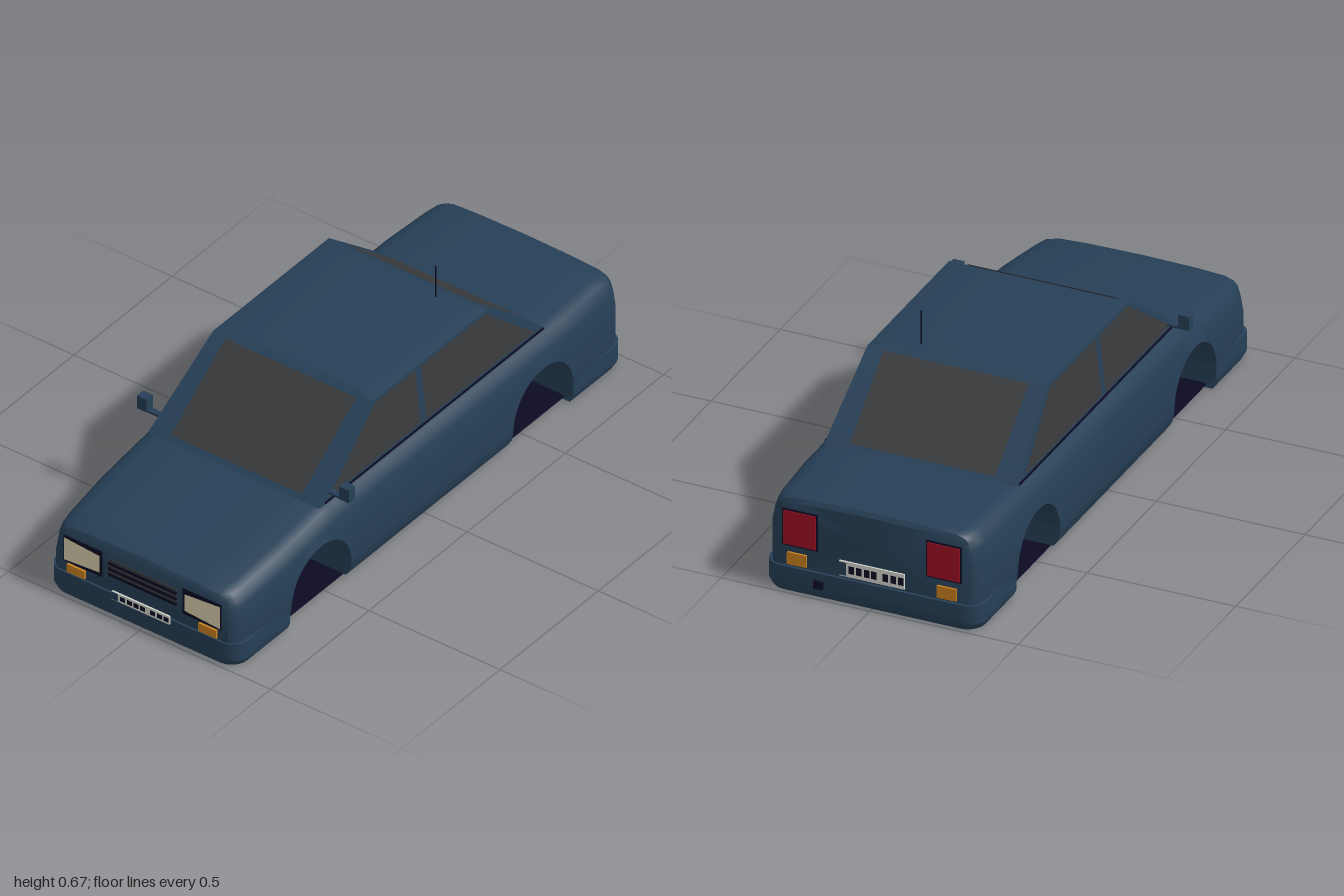
import * as THREE from 'three';
import { toCreasedNormals } from 'three/addons/utils/BufferGeometryUtils.js';

const mat = (name, color, side = THREE.FrontSide) => {
  const m = new THREE.MeshStandardMaterial({ color, side });
  m.name = name;
  return m;
};

// Skin a list of closed rings and cap both ends
function loft(rings, crease) {
  const pos = [];
  const tri = (...pts) => pts.forEach(p => pos.push(...p));
  const n = rings[0].length;
  for (let i = 0; i < rings.length - 1; i++) {
    for (let j = 0; j < n; j++) {
      const k = (j + 1) % n;
      tri(rings[i][j], rings[i][k], rings[i + 1][k]);
      tri(rings[i][j], rings[i + 1][k], rings[i + 1][j]);
    }
  }
  for (const [ring, flip] of [[rings[0], true], [rings[rings.length - 1], false]]) {
    const c = [0, 1, 2].map(a => ring.reduce((s, p) => s + p[a], 0) / n);
    ring.forEach((p, j) => {
      const q = ring[(j + 1) % n];
      flip ? tri(c, q, p) : tri(c, p, q);
    });
  }
  const g = new THREE.BufferGeometry();
  g.setAttribute('position', new THREE.Float32BufferAttribute(pos, 3));
  return toCreasedNormals(g, crease);
}

// Piecewise linear lookup in a table of [key, value]
function lookup(table, v) {
  for (let i = 1; i < table.length; i++) {
    const [a, fa] = table[i - 1], [b, fb] = table[i];
    if (v <= b) return fa + (fb - fa) * Math.max(0, (v - a) / (b - a));
  }
  return table[table.length - 1][1];
}

export function createModel() {
  const car = new THREE.Group();
  car.name = 'carBody';
  const paint = mat('bluePaint', 0x263f56);
  const glass = mat('greyGlass', 0x393b3d, THREE.DoubleSide);
  const dark = mat('darkTrim', 0x0b0a22, THREE.DoubleSide);
  const cream = mat('headlightCream', 0xdcd2ae);
  const amber = mat('amberLens', 0xc8801f);
  const red = mat('redLens', 0x9c1024);
  const white = mat('plateWhite', 0xd2d2cc);

  const add = (name, geo, m) => {
    const mesh = new THREE.Mesh(geo, m);
    mesh.name = name;
    car.add(mesh);
    return mesh;
  };
  const box = (name, m, x0, x1, y0, y1, z0, z1) =>
    add(name, new THREE.BoxGeometry(x1 - x0, y1 - y0, z1 - z0), m)
      .position.set((x0 + x1) / 2, (y0 + y1) / 2, (z0 + z1) / 2);
  const quad = (name, m, corners) => {
    const g = new THREE.BufferGeometry();
    g.setAttribute('position', new THREE.Float32BufferAttribute(corners.flat(), 3));
    g.setIndex([0, 1, 2, 0, 2, 3]);
    g.computeVertexNormals();
    return add(name, g, m);
  };

  // Lower body: sections along z, bottom edge lifted over the wheel arches
  const topLine = [[-0.98, 0.312], [-0.97, 0.326], [-0.95, 0.33], [0.38, 0.331], [0.5, 0.325],
    [0.8, 0.287], [0.95, 0.266], [0.972, 0.257], [0.983, 0.24]];
  const widths = [[-0.98, 0.88], [-0.97, 0.92], [-0.95, 0.95], [-0.9, 0.97], [-0.72, 1],
    [0.72, 1], [0.9, 0.97], [0.95, 0.95], [0.972, 0.92], [0.983, 0.88]];
  const archZ = 0.565, archY = 0.072, archR = 0.153, floorY = 0.015;
  const stations = [...new Set([...topLine, ...widths].map(p => p[0]))]
    .filter(z => Math.abs(Math.abs(z) - archZ) > archR + 0.001).map(z => [z, floorY]);
  for (const c of [-archZ, archZ]) {
    stations.push([c - archR - 0.0002, floorY], [c + archR + 0.0002, floorY]);
    for (let i = 0; i <= 24; i++) {
      const a = Math.PI * i / 24;
      stations.push([c - archR * Math.cos(a), archY + archR * Math.sin(a)]);
    }
  }
  stations.sort((a, b) => a[0] - b[0]);
  const shoulder = [[0.368, 0.11], [0.358, 0.06], [0.347, 0.03], [0.332, 0.017], [0.3, 0.008],
    [0.2, 0.003], [0, 0]];
  add('lowerBody', loft(stations.map(([z, low]) => {
    const top = lookup(topLine, z), s = lookup(widths, z);
    const half = [[0.346, 0.015], [0.362, 0.04], [0.368, 0.08],
      ...shoulder.map(([x, d]) => [x, top - d])]
      .map(([x, y]) => (y < low ? [0.368 * s, low, z] : [x * s, y, z]));
    return [...half, ...half.slice(0, -1).reverse().map(([x, y, zz]) => [-x, y, zz])];
  }), 0.6), paint);

  // Floor sheet
  const floor = add('floor', new THREE.PlaneGeometry(0.67, 1.9), dark);
  floor.rotation.x = Math.PI / 2;
  floor.position.y = 0.012;

  // Cabin: rectangles stacked upwards, with a gently crowned roof
  const cabinLevels = [[0.322, 0.326, 0.52, -0.63], [0.54, 0.302, 0.222, -0.367],
    [0.55, 0.25, 0.2, -0.345], [0.556, 0.1, 0.12, -0.26]];
  add('cabin', loft(cabinLevels.map(([y, x, f, b]) =>
    [[x, y, f], [x, y, b], [-x, y, b], [-x, y, f]]), 0.3), paint);

  // Windscreen and rear window, just proud of the cabin
  for (const [name, zb, zt, w] of [['windscreen', 0.52, 0.222, 0.25], ['rearWindow', -0.63, -0.367, 0.245]]) {
    const s = Math.sign(zb);
    const at = (x, t) => [x * s, 0.322 + 0.218 * t + 0.003, zb + (zt - zb) * t + s * 0.002];
    quad(name, glass, [at(-w, 0.05), at(w, 0.05), at(w, 0.98), at(-w, 0.98)]);
  }

  // Side windows, split by the centre pillar
  const sideWindows = [['frontSideWindow', 0.47, 0.004, 0.004, 0.207], ['rearSideWindow', -0.024, -0.575, -0.352, -0.024]];
  for (const s of [1, -1]) {
    for (const [name, a, b, c, d] of sideWindows) {
      const p = (z, y) => [s * (0.329 - 0.024 * (y - 0.322) / 0.218), y, z];
      const pts = [p(a, 0.34), p(b, 0.34), p(c, 0.533), p(d, 0.533)];
      quad(name, glass, s > 0 ? pts : pts.reverse());
    }
    // Waistline seam
    box('waistSeam', dark, s * 0.327 - 0.002, s * 0.327 + 0.002, 0.324, 0.33, -0.62, 0.49);
  }

  // Wrap-around bumpers: a U-shaped plan, tapered at the bottom
  const plan = (w, z, r, shape, back) => {
    const pts = [[-w, 0.722], [-w, z - r]];
    for (let i = 1; i <= 6; i++) {
      const a = Math.PI / 2 * i / 6;
      pts.push([-w + r - r * Math.cos(a), z - r + r * Math.sin(a)]);
    }
    pts.push(...pts.slice().reverse().map(([x, y]) => [-x, y]));
    return back ? pts.reverse() : pts;
  };
  const bumperPts = [...plan(0.365, 0.99, 0.06), ...plan(0.325, 0.95, 0.04, null, true)]
    .map(([x, z]) => new THREE.Vector2(x, z));
  for (const front of [true, false]) {
    const g = new THREE.ExtrudeGeometry(new THREE.Shape(bumperPts), { depth: 0.085, steps: 4, bevelEnabled: false });
    g.rotateX(Math.PI / 2);
    g.translate(0, 0.085, 0);
    const p = g.attributes.position;
    for (let i = 0; i < p.count; i++) {
      if (p.getY(i) < 0.01) p.setXYZ(i, p.getX(i) * 0.97, p.getY(i), p.getZ(i) * 0.993);
    }
    if (!front) g.rotateY(Math.PI);
    add(front ? 'frontBumper' : 'rearBumper', toCreasedNormals(g, 0.5), paint);
  }
  box('towEye', dark, 0.16, 0.19, 0.035, 0.06, -1, -0.985);

  // Lamps, mirrored left and right
  for (const s of [1, -1]) {
    const span = (a, b) => (s > 0 ? [a, b] : [-b, -a]);
    box('headlightSurround', dark, ...span(0.154, 0.3), 0.125, 0.221, 0.978, 0.986);
    const lens = [[0.162, 0.14], [0.297, 0.13], [0.297, 0.214], [0.162, 0.203]]
      .map(([x, y]) => [s * x, y, 0.9875]);
    quad('headlight', cream, s > 0 ? lens : lens.reverse());
    box('frontIndicator', amber, ...span(0.217, 0.285), 0.09, 0.12, 0.982, 0.991);
    box('tailLightSurround', dark, ...span(0.183, 0.302), 0.156, 0.282, -0.984, -0.977);
    box('tailLight', red, ...span(0.188, 0.297), 0.161, 0.277, -0.987, -0.979);
    box('rearIndicator', amber, ...span(0.22, 0.285), 0.092, 0.134, -0.987, -0.979);

    // Door mirrors
    box('mirrorArm', paint, ...span(0.31, 0.385), 0.346, 0.354, 0.448, 0.468);
    box('mirrorHousing', paint, ...span(0.367, 0.404), 0.35, 0.398, 0.442, 0.474);
  }

  // Grille with dark slots
  box('grille', glass, -0.13, 0.13, 0.142, 0.206, 0.978, 0.985);
  for (const y of [0.148, 0.169, 0.19]) {
    box('grilleSlot', dark, -0.13, 0.13, y - 0.005, y + 0.005, 0.982, 0.987);
  }

  // Registration plates with plain blocks
  const blocks = [-0.068, -0.042, -0.016, 0.008, 0.047, 0.073, 0.098];
  for (const [name, s, y0, y1, z] of [['frontPlate', 1, 0.067, 0.098, 0.992], ['rearPlate', -1, 0.093, 0.145, -0.983]]) {
    const slab = (n, m, x, w, h, lift) => box(n, m, s * x - w, s * x + w,
      (y0 + y1) / 2 - h, (y0 + y1) / 2 + h, z + s * lift - 0.003, z + s * lift + 0.003);
    const h = (y1 - y0) / 2;
    slab(name, white, 0, 0.11, h, 0);
    slab('plateBand', paint, -0.098, 0.012, h * 0.85, 0.001);
    blocks.forEach(x => slab('plateBlock', dark, x, 0.009, h * 0.5, 0.001));
  }

  // Roof aerial
  add('aerial', new THREE.CylinderGeometry(0.002, 0.0025, 0.13, 8), dark).position.set(0.148, 0.605, -0.31);

  return car;
}
